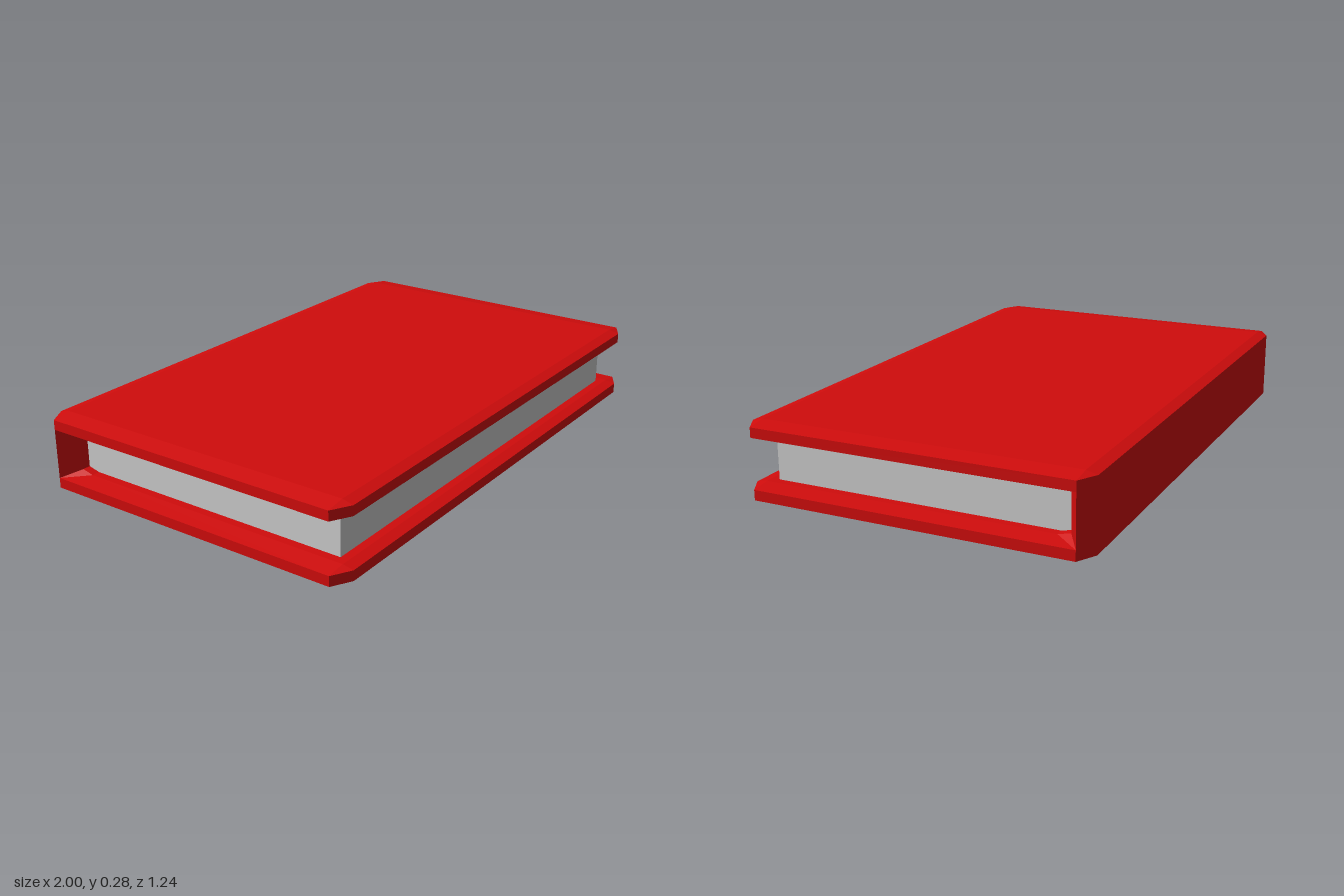
import * as THREE from 'three';

// Cover cross-section as [z, y]: full section, and the bevelled-in rim at the two ends
const SECTION = [
  [0.62, 0.265], [0.58, 0.275], [-0.58, 0.275], [-0.62, 0.265],
  [-0.62, 0.01], [-0.58, 0], [0.58, 0], [0.62, 0.01],
  [0.62, 0.047], [0.58, 0.055], [-0.49, 0.055], [-0.535, 0.066],
  [-0.535, 0.209], [-0.49, 0.221], [0.58, 0.221], [0.62, 0.229],
];
const RIM = [
  [0.58, 0.265], [0.58, 0.265], [-0.58, 0.265], [-0.58, 0.265],
  [-0.58, 0.01], [-0.58, 0.01], [0.58, 0.01], [0.58, 0.01],
  [0.58, 0.047], [0.58, 0.047], [-0.58, 0.047], [-0.58, 0.047],
  [-0.58, 0.229], [-0.58, 0.229], [0.58, 0.229], [0.58, 0.229],
];

function coverGeometry() {
  const ring = (x, profile) => profile.map(([z, y]) => new THREE.Vector3(x, y, z));
  const rings = [ring(-1, RIM), ring(-0.93, SECTION), ring(0.93, SECTION), ring(1, RIM)];
  const points = [];
  // Collapsed corners are skipped so no triangle is degenerate
  const tri = (a, b, c) => {
    if (new THREE.Triangle(a, b, c).getArea() > 1e-7) points.push(a, b, c);
  };
  const quad = (a, b, c, d) => { tri(a, b, c); tri(a, c, d); };

  // Walls between neighbouring sections
  for (let r = 0; r < rings.length - 1; r++) {
    const L = rings[r], R = rings[r + 1];
    for (let i = 0; i < L.length; i++) {
      const j = (i + 1) % L.length;
      quad(L[i], R[i], R[j], L[j]);
    }
  }
  // Flat side edges of the two boards
  for (const ids of [[0, 2, 12, 14], [6, 8, 10, 4]]) {
    quad(...ids.map((i) => rings[0][i]));
    quad(...[...ids].reverse().map((i) => rings[3][i]));
  }

  const geometry = new THREE.BufferGeometry().setFromPoints(points);
  geometry.computeVertexNormals();
  return geometry;
}

export function createModel() {
  const book = new THREE.Group();
  book.name = 'book';

  // Boards and spine in one bevelled wrap
  const cover = new THREE.Mesh(
    coverGeometry(),
    new THREE.MeshStandardMaterial({ color: 0xd00c0c, flatShading: true }),
  );
  cover.name = 'cover';

  // Page block between the boards
  const pages = new THREE.Mesh(
    new THREE.BoxGeometry(1.8, 0.166, 1.085),
    new THREE.MeshStandardMaterial({ color: 0xcccccc, flatShading: true }),
  );
  pages.name = 'pages';
  pages.position.set(0, 0.138, 0.0075);

  book.add(cover, pages);
  return book;
}
